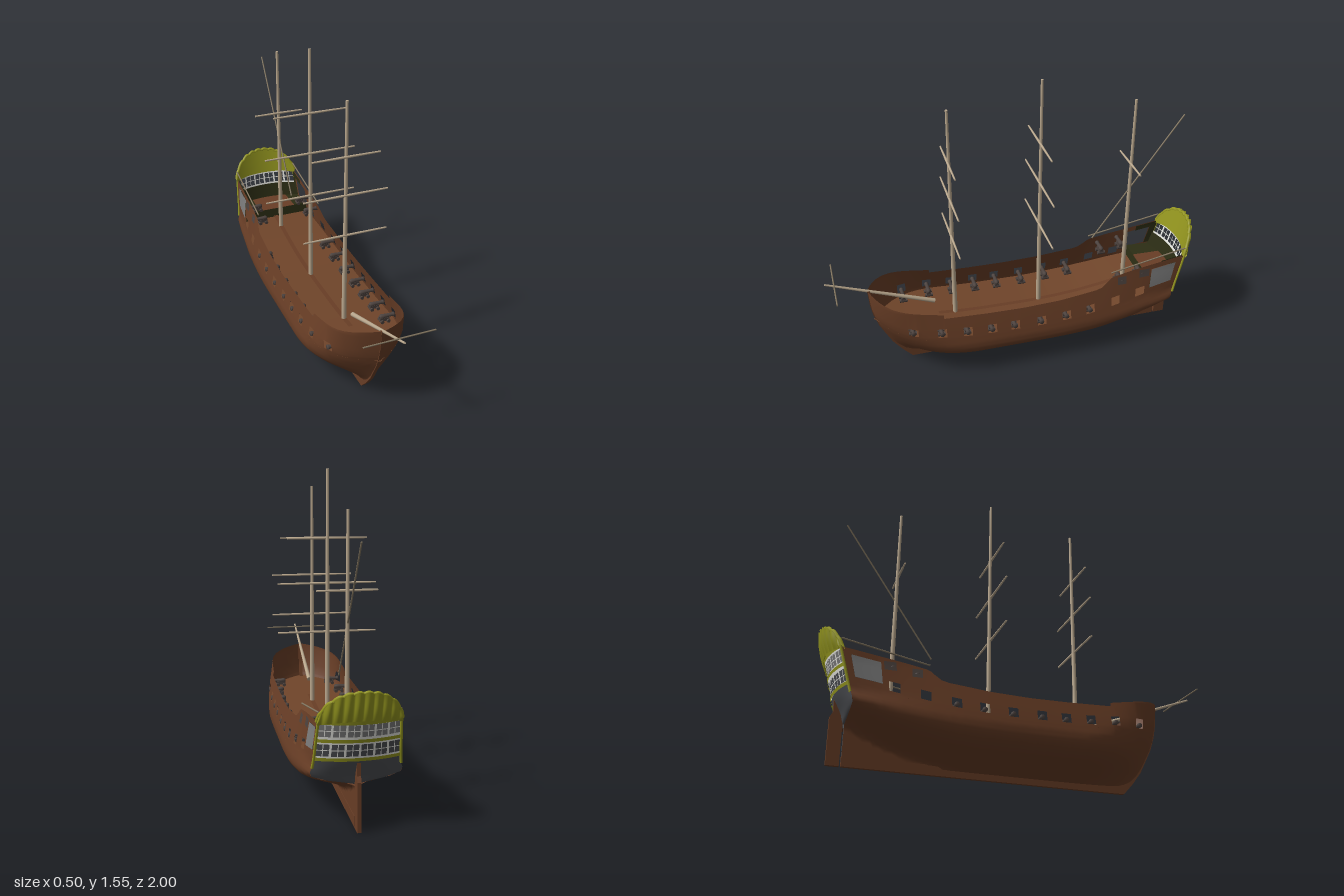
import * as THREE from 'three';

const mat = (name, color, side = THREE.DoubleSide) => {
  const m = new THREE.MeshStandardMaterial({ color, side });
  m.name = name;
  return m;
};
const clamp = THREE.MathUtils.clamp, lerp = THREE.MathUtils.lerp;

// Linear lookup in a short list of [key, value] pairs with rising keys
function look(t, x) {
  if (x <= t[0][0]) return t[0][1];
  for (let i = 1; i < t.length; i++)
    if (x <= t[i][0]) return lerp(t[i - 1][1], t[i][1], (x - t[i - 1][0]) / (t[i][0] - t[i - 1][0]));
  return t[t.length - 1][1];
}

// Hull lines
const STEM = [[0, 0.58], [0.06, 0.635], [0.12, 0.68], [0.19, 0.717], [0.25, 0.747], [0.32, 0.77], [0.38, 0.782], [0.48, 0.79]];
const STEM_Y = STEM.map(([y, z]) => [z, Math.max(y, 0.03)]);
const PROFILE = [[0.03, 0.008], [0.05, 0.055], [0.08, 0.13], [0.11, 0.192], [0.14, 0.231], [0.17, 0.246], [0.21, 0.247],
  [0.28, 0.234], [0.36, 0.215], [0.45, 0.192], [0.55, 0.175]];
const SHEER = [[-0.84, 0.512], [-0.5, 0.45], [-0.48, 0.44], [-0.45, 0.405], [-0.4, 0.392], [-0.2, 0.372], [0, 0.366],
  [0.2, 0.37], [0.429, 0.38], [0.43, 0.4], [0.6, 0.434], [0.7, 0.455], [0.79, 0.48]];
const PORT_Y = [[-0.84, 0.37], [-0.65, 0.335], [-0.51, 0.31], [-0.365, 0.29], [-0.23, 0.28], [-0.09, 0.275], [0.18, 0.28],
  [0.31, 0.287], [0.445, 0.3], [0.59, 0.312], [0.79, 0.335]];
const PORTS = [0.59, 0.445, 0.31, 0.18, 0.055, -0.09, -0.23, -0.365, -0.51, -0.65];
const UPPER_PORTS = [-0.55, -0.665];
const HALF = 0.024;

// Half width of the hull at a station and height
function width(z, y) {
  const aft = clamp((-z - 0.2) / 0.64, 0, 1), rise = 0.17 * aft * aft;
  const yy = y < 0.3 ? 0.03 + (y - 0.03 - rise) * 0.27 / (0.27 - rise) : y;
  const d = clamp((look(STEM, y) - z) / 0.48, 0, 1);
  const p = 1.9 + 5 * Math.min(1, (y / 0.42) ** 2);
  return look(PROFILE, yy) * (1 - 0.16 * aft * aft * clamp((0.5 - y) / 0.2, 0, 1)) * (1 - Math.pow(1 - d, p));
}
const rake = (z, y) => z - 0.26 * Math.max(0, y - 0.25) * clamp((-0.6 - z) / 0.24, 0, 1);
const hullPoint = (z, y, s, out = 0) => [s * (width(z, y) + out), y, rake(z, y)];
// Curved stern face
const sternPoint = (x, u, y, out = 0, bulge = 0.04) =>
  [x, y, -0.84 - 0.26 * Math.max(0, y - 0.25) - bulge * (1 - u * u) - out];

// Grid surface; cells for which skip(i, j) holds are left open
function sheet(nu, nv, fn, skip) {
  const pos = [], idx = [];
  for (let i = 0; i <= nu; i++) for (let j = 0; j <= nv; j++) pos.push(...fn(i, j));
  for (let i = 0; i < nu; i++) for (let j = 0; j < nv; j++) {
    if (skip && skip(i, j)) continue;
    const a = i * (nv + 1) + j, b = a + nv + 1;
    idx.push(a, b, a + 1, b, b + 1, a + 1);
  }
  const g = new THREE.BufferGeometry();
  g.setAttribute('position', new THREE.Float32BufferAttribute(pos, 3));
  g.setIndex(idx);
  g.computeVertexNormals();
  return g;
}

export function createModel() {
  const ship = new THREE.Group();
  ship.name = 'sailingShip';
  const brown = mat('hullBrown', 0x693e26), deckM = mat('deckBrown', 0x70452a), tan = mat('mastTan', 0xb9a78d),
    spar = mat('sparBrown', 0x82755f), iron = mat('cannonIron', 0x4c423e), gold = mat('oldGold', 0x94961f),
    white = mat('frameWhite', 0xe6e6e0), glass = mat('windowGrey', 0x7b7b7b, THREE.FrontSide),
    slate = mat('counterGrey', 0x4c4e52), dark = mat('cabinDark', 0x2c2d14);
  const add = (name, geo, m, parent = ship) => {
    const mesh = new THREE.Mesh(geo, m);
    mesh.name = name;
    parent.add(mesh);
    return mesh;
  };
  const rod = (name, a, b, r1, r2, m) => {
    const A = new THREE.Vector3(...a), B = new THREE.Vector3(...b), dir = B.clone().sub(A);
    const mesh = add(name, new THREE.CylinderGeometry(r2, r1, dir.length(), 10), m);
    mesh.position.copy(A).add(B).multiplyScalar(0.5);
    mesh.quaternion.setFromUnitVectors(new THREE.Vector3(0, 1, 0), dir.normalize());
  };
  const sidePlate = (name, pts, depth, m) => { // flat shape drawn in z and y
    const g = new THREE.ExtrudeGeometry(new THREE.Shape(pts.map(p => new THREE.Vector2(...p))), { depth, bevelEnabled: false });
    add(name, g.rotateY(-Math.PI / 2).translate(depth / 2, 0, 0), m);
  };

  // Hull sides with open gun ports and cabin windows
  const set = [-0.84, -0.81, -0.7, 0.429, 0.43, 0.74, 0.755, 0.765, 0.773, 0.78, 0.785, 0.788, 0.79];
  for (const p of PORTS) set.push(p - HALF, p + HALF);
  for (let z = -0.785; z < 0.73; z += 0.035)
    if (!set.some(q => Math.abs(q - z) < 0.008)) set.push(z);
  const zs = set.sort((a, b) => a - b), LOW = 16;
  const rowY = (z, j) => {
    const yb = look(STEM_Y, z), c = look(PORT_Y, z), pl = c - HALF;
    const y = j <= LOW ? lerp(yb, pl, j / LOW) : c + [z < -0.695 ? 0.002 : HALF, 0.112, 9][j - LOW - 1];
    return clamp(y, yb, Math.max(yb, look(SHEER, z)));
  };
  const mid = i => (zs[i] + zs[i + 1]) / 2;
  for (const s of [1, -1])
    add(s > 0 ? 'hullLeft' : 'hullRight', sheet(zs.length - 1, LOW + 3, (i, j) => hullPoint(zs[i], rowY(zs[i], j), s),
      (i, j) => (j === LOW && PORTS.some(p => Math.abs(mid(i) - p) < HALF)) ||
        (j === LOW + 1 && Math.abs(mid(i) + 0.755) < 0.055)), brown);

  // Keel, stem and rudder
  sidePlate('keelAndStem', [[-0.84, 0], ...STEM.map(([y, z]) => [z, y]), [0.775, 0.48], [0.755, 0.36], [0.72, 0.24],
    [0.65, 0.12], [0.57, 0.05], [-0.84, 0.05]], 0.018, brown);
  sidePlate('rudder', [[-0.848, 0], [-0.91, 0], [-0.91, 0.23], [-0.895, 0.255], [-0.895, 0.34], [-0.862, 0.34], [-0.848, 0.2]], 0.018, brown);

  // Deck follows the line of the ports
  const deckY = z => look(PORT_Y, z) - 0.042;
  add('mainDeck', sheet(50, 8, (i, j) => {
    const z = lerp(-0.74, 0.77, i / 50);
    return hullPoint(z, deckY(z), j / 4 - 1);
  }), deckM);
  add('deckCentrePlank', sheet(40, 1, (i, j) => {
    const z = lerp(-0.74, 0.42, i / 40);
    return [(j - 0.5) * 0.024, deckY(z) + 0.004, z];
  }), brown);

  // Open cabin: raised floor, dark bulkhead and dark lining around the windows
  const FLOOR = 0.358;
  add('cabinBulkhead', sheet(8, 4, (i, j) => hullPoint(-0.722, lerp(deckY(-0.72), FLOOR, j / 4), i / 4 - 1, -0.001)), dark);
  const floor = (name, u0, u1, m) => add(name, sheet(6, 6, (i, j) => {
    const u = lerp(u0, u1, j / 6), a = hullPoint(-0.722, FLOOR, u);
    const b = sternPoint(u * width(-0.84, FLOOR), u, FLOOR, -0.006);
    return a.map((v, k) => lerp(v, b[k], i / 6));
  }), m);
  floor('cabinFloor', -0.5, 0.62, brown);
  floor('cabinFloorSide', -1, -0.5, dark);
  floor('cabinFloorSide', 0.62, 1, dark);
  for (const s of [1, -1]) {
    const lining = (z0, z1, lo, hi) => add('cabinLining', sheet(4, 4, (i, j) => {
      const z = lerp(z0, z1, i / 4), y = lerp(lo(z), hi(z), j / 4);
      return hullPoint(z, y, s, -0.006);
    }), dark);
    const sill = z => look(PORT_Y, z) + 0.002, head = z => look(PORT_Y, z) + 0.112, rail = z => look(SHEER, z);
    lining(-0.84, -0.742, head, rail);
    lining(-0.84, -0.81, sill, head);
  }

  // Cannons on wheeled carriages
  const cannon = (y, z, s) => {
    const g = new THREE.Group();
    g.name = 'cannon';
    const barrel = [[0, 0], [0.008, 0.001], [0.0135, 0.01], [0.0115, 0.03], [0.0095, 0.068], [0.0125, 0.076], [0.0125, 0.084], [0, 0.084]];
    add('barrel', new THREE.LatheGeometry(barrel.map(p => new THREE.Vector2(...p)), 10).rotateZ(-Math.PI / 2), iron, g).position.set(-0.065, 0, 0);
    add('carriage', new THREE.BoxGeometry(0.05, 0.018, 0.024), iron, g).position.set(-0.038, -0.014, 0);
    for (const wx of [-0.055, -0.02])
      add('wheels', new THREE.CylinderGeometry(0.01, 0.01, 0.042, 10).rotateX(Math.PI / 2), iron, g).position.set(wx, -0.023, 0);
    g.position.set(s * (width(z, y) - 0.017), y, z);
    g.rotation.y = s > 0 ? 0 : Math.PI;
    ship.add(g);
  };
  for (const s of [1, -1]) {
    for (const z of PORTS.slice(0, 8)) cannon(look(PORT_Y, z) - 0.008, z, s);
    for (const z of UPPER_PORTS) {
      const y = look(PORT_Y, z) + 0.105;
      cannon(y - 0.008, z, s);
      add('upperPort', sheet(2, 2, (i, j) => hullPoint(z + (i - 1) * HALF, y + (j - 1) * 0.022, s, 0.003)), iron);
    }
    // Side window of the cabin
    add('cabinSideWindow', sheet(6, 6, (i, j) => {
      const z = -0.755 + s * lerp(0.055, -0.055, i / 6);
      return hullPoint(z, look(PORT_Y, z) + lerp(0.002, 0.112, j / 6), s, 0.002);
    }), glass);
    // Quarter rail
    rod('quarterRail', [s * 0.185, 0.475, -0.49], [s * 0.18, 0.555, -0.91], 0.004, 0.004, spar);
    // Gilded corner of the stern
    const pts = [0.29, 0.34, 0.42, 0.52].map(y => new THREE.Vector3(s * (width(-0.84, y) + 0.001), y, sternPoint(0, 1, y)[2] - 0.003));
    add('sternCorner', new THREE.TubeGeometry(new THREE.CatmullRomCurve3(pts), 12, 0.0065, 8), gold);
  }

  // Stern: counter, glass, open window frames and gilded bands
  const onStern = (u, y, out) => sternPoint(u * width(-0.84, y), u, y, out, 0.04 * clamp((y - 0.17) / 0.15, 0, 1));
  const band = (name, y0, y1, out, m) => add(name, sheet(30, 6, (i, j) =>
    onStern(1 - i / 15, lerp(y0, y1, j / 6), out)), m);
  band('lowerCounter', 0.04, 0.2, 0, slate);
  band('upperCounter', 0.2, 0.335, 0, slate);
  band('lowerSternGlass', 0.335, 0.42, -0.003, slate);
  band('upperSternGlass', 0.42, 0.515, -0.003, glass);
  band('cabinBackWall', FLOOR, 0.437, -0.008, dark);
  const us = [], ys = [0.335, 0.349, 0.376, 0.38, 0.407, 0.443, 0.469, 0.473, 0.5, 0.525];
  for (let k = 0; k < 6; k++) for (const d of [0, 0.025, 0.155, 0.175, 0.305]) us.push(-1 + k / 3 + d);
  us.push(1);
  add('galleryFrames', sheet(us.length - 1, ys.length - 1, (i, j) => onStern(us[i], ys[j], 0),
    (i, j) => (i % 5 === 1 || i % 5 === 3) && j % 2 === 1 && j < 8), white);
  for (const y of [0.335, 0.425, 0.511]) band('gildedBand', y - 0.008, y + 0.008, 0.006, gold);
  band('gildedInnerBand', 0.51, 0.526, -0.006, gold);

  // Scalloped crest: smooth inner face, rippled outer face
  const crestTop = u => 0.51 + 0.138 * Math.pow(Math.max(0, 1 - Math.pow(Math.abs(u), 2.4)), 0.65) + 0.007 * Math.abs(Math.sin(u * 4.5 * Math.PI));
  const crest = out => (i, j) => {
    const u = i / 36 - 1, v = j / 10;
    const y = lerp(0.498 + 0.022 * (1 - u * u), crestTop(u), v);
    const o = out ? 0.004 + 0.012 * Math.abs(Math.sin(u * 4.5 * Math.PI)) * (0.4 + 0.6 * Math.sin(v * Math.PI)) : -0.012;
    return sternPoint(u * 0.187, u, y, o, 0.042);
  };
  add('crestInner', sheet(72, 10, crest(false)), gold);
  add('crestOuter', sheet(72, 10, crest(true)), gold);
  const rim = [];
  for (let i = 0; i <= 36; i++) rim.push(new THREE.Vector3(...sternPoint((i / 18 - 1) * 0.187, i / 18 - 1, crestTop(i / 18 - 1) - 0.004, -0.004, 0.042)));
  add('crestRim', new THREE.TubeGeometry(new THREE.CatmullRomCurve3(rim), 72, 0.009, 8), gold);

  // Masts and their yards: [height, half length]
  const masts = [
    ['foreMast', 0.33, 1.45, 0.25, [[1.17, 0.175], [0.967, 0.22], [0.747, 0.22]]],
    ['mainMast', -0.14, 1.55, 0.24, [[1.212, 0.2], [0.987, 0.25], [0.74, 0.25]]],
    ['mizzenMast', -0.635, 1.385, 0.29, [[1.025, 0.14]]],
  ];
  for (const [name, z, top, foot, yards] of masts) {
    rod(name, [0, foot, z], [0, top, z], 0.013, 0.007, tan);
    for (const [y, h] of yards)
      for (const s of [1, -1]) rod('yard', [0, y, z + 0.006], [s * h, y, z + 0.006], 0.0065, 0.0045, tan);
  }
  rod('lateenYard', [0, 0.59, -0.44], [0, 1.268, -0.91], 0.004, 0.004, spar);
  rod('bowsprit', [0, 0.345, 0.44], [0, 0.56, 0.998], 0.012, 0.005, tan);
  rod('spritsailYard', [-0.18, 0.553, 0.952], [0.18, 0.553, 0.952], 0.004, 0.004, spar);
  return ship;
}
